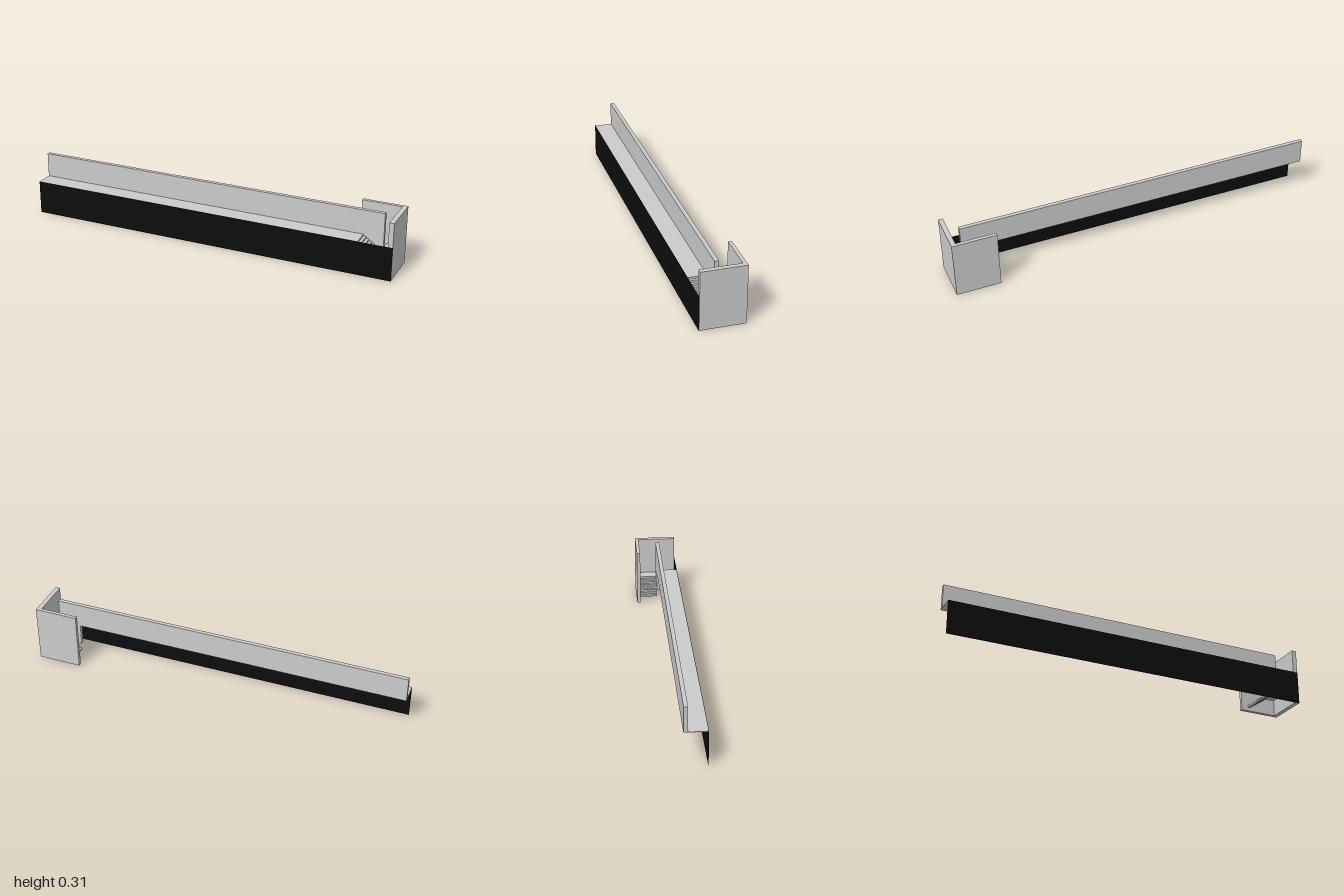
import * as THREE from 'three';

const grey = new THREE.MeshStandardMaterial({ color: 0xcccccc, flatShading: true, side: THREE.DoubleSide });
const black = new THREE.MeshStandardMaterial({ color: 0x0d0d0d, flatShading: true, side: THREE.DoubleSide });

// Box given by its min and max along each axis
function block(name, [x0, x1], [y0, y1], [z0, z1], material = grey) {
  const mesh = new THREE.Mesh(new THREE.BoxGeometry(x1 - x0, y1 - y0, z1 - z0), material);
  mesh.position.set((x0 + x1) / 2, (y0 + y1) / 2, (z0 + z1) / 2);
  mesh.name = name;
  return mesh;
}

export function createModel() {
  const model = new THREE.Group();
  model.name = 'walkwayWithStairwell';

  const deckY = 0.18, topY = 0.31;
  const stairX0 = 0.805, stairX1 = 0.925, wallX = 0.975;
  const back = -0.116, front = 0.115, backInner = -0.097;

  // Long walkway with its dark front panel and rear parapet
  model.add(block('frontPanel', [-1, 1], [0, deckY], [front, front + 0.002], black));
  model.add(block('walkwayDeck', [-1, stairX0], [deckY - 0.003, deckY], [0, front]));
  model.add(block('parapet', [-1, stairX1], [deckY, topY], [0, 0.021]));

  // Stairwell walls
  model.add(block('dividerWall', [stairX0, stairX1], [0.06, deckY], [0, 0.021]));
  model.add(block('endWall', [wallX, 1], [0, topY], [back, front]));
  model.add(block('backWall', [0.767, wallX], [0, topY], [back, backInner]));

  // Two flights that turn back on a landing
  const steps = 8, run = (stairX1 - stairX0) / steps, rise = 0.01;
  const landingY = deckY - steps * rise;
  const upper = new THREE.Group(), lower = new THREE.Group();
  upper.name = 'upperFlight';
  lower.name = 'lowerFlight';
  for (let i = 0; i < steps; i++) {
    const x = [stairX0 + i * run, stairX0 + (i + 1) * run];
    const yUp = deckY - i * rise;
    const yLow = landingY - (steps - 1 - i) * rise;
    upper.add(block('step', x, [yUp - rise, yUp], [0.021, front]));
    lower.add(block('step', x, [yLow - rise, yLow], [backInner, 0]));
  }
  model.add(upper, lower);
  model.add(block('landing', [stairX1, wallX], [landingY - rise, landingY], [backInner, front]));

  return model;
}
